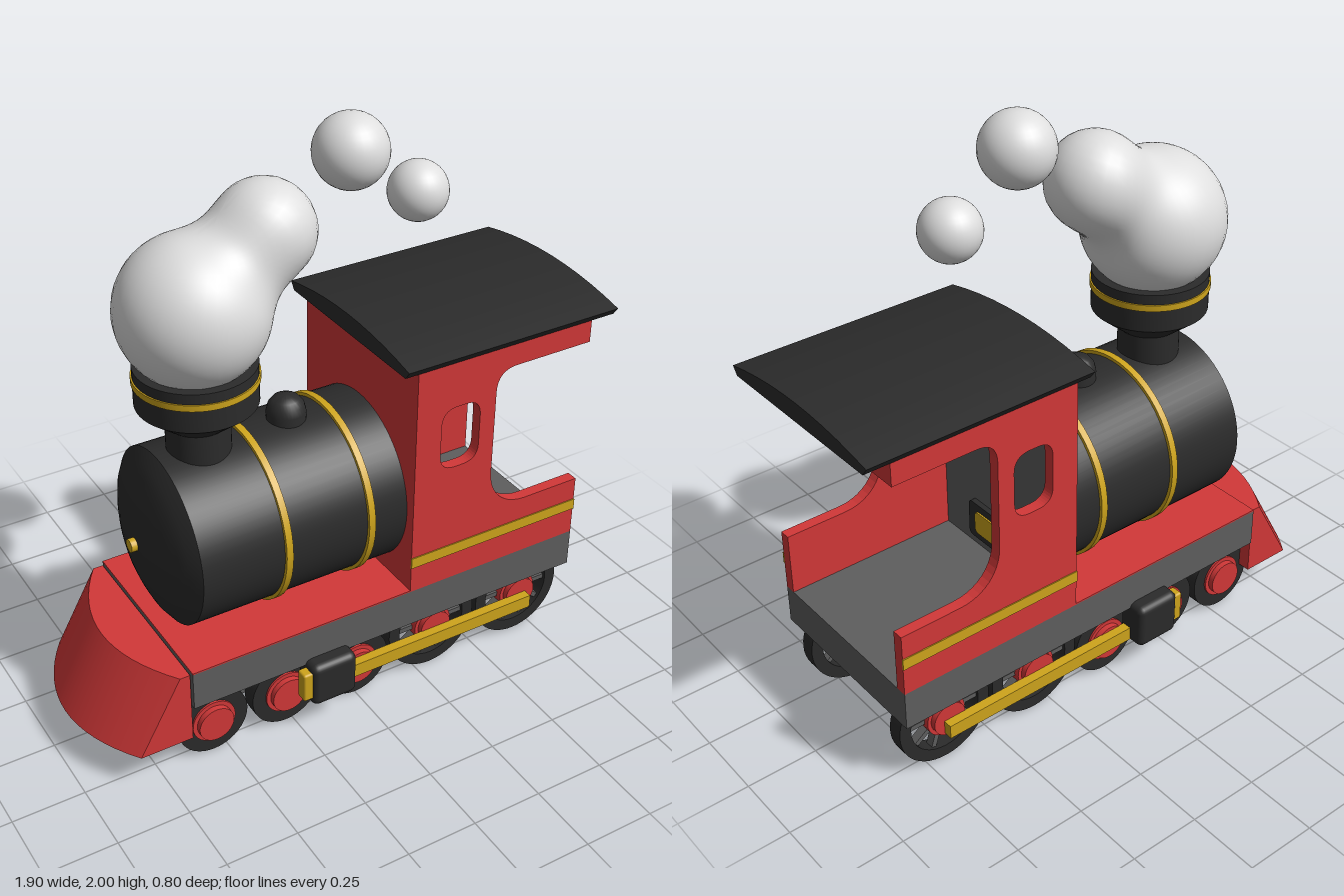
import * as THREE from 'three';
import { toCreasedNormals } from 'three/addons/utils/BufferGeometryUtils.js';
import { RoundedBoxGeometry } from 'three/addons/geometries/RoundedBoxGeometry.js';

const paint = (name, color) => Object.assign(new THREE.MeshStandardMaterial({ color }), { name });

export function createModel() {
  const red = paint('red', 0xd23838), black = paint('black', 0x2b2b2b), grey = paint('grey', 0x5e5e5e);
  const gold = paint('gold', 0xcfa51c), white = paint('smoke white', 0xdedede);
  const model = new THREE.Group();
  model.name = 'steamLocomotive';

  const add = (name, geometry, material, parent = model) => {
    const mesh = new THREE.Mesh(geometry, material);
    mesh.name = name;
    parent.add(mesh);
    return mesh;
  };
  // Box given by its limits on each axis
  const box = (name, x0, x1, y0, y1, z0, z1, material, parent) =>
    add(name, new THREE.BoxGeometry(x1 - x0, y1 - y0, z1 - z0)
      .translate((x0 + x1) / 2, (y0 + y1) / 2, (z0 + z1) / 2), material, parent);
  // Turned part with sharp edges kept
  const turned = (points, segments = 48) => toCreasedNormals(
    new THREE.LatheGeometry(points.map(p => new THREE.Vector2(...p)), segments), 0.6);
  const ring = (r0, r1, y0, y1) => turned([[r1, y0], [r1, y1], [r0, y1], [r0, y0], [r1, y0]]);
  const roundRect = (target, x0, x1, y0, y1, r) => {
    target.moveTo(x0 + r, y0);
    target.lineTo(x1 - r, y0).quadraticCurveTo(x1, y0, x1, y0 + r);
    target.lineTo(x1, y1 - r).quadraticCurveTo(x1, y1, x1 - r, y1);
    target.lineTo(x0 + r, y1).quadraticCurveTo(x0, y1, x0, y1 - r);
    target.lineTo(x0, y0 + r).quadraticCurveTo(x0, y0, x0 + r, y0);
    return target;
  };
  const extrude = (shape, depth) =>
    new THREE.ExtrudeGeometry(shape, { depth, bevelEnabled: false, curveSegments: 10 });

  // Chassis
  box('chassis', -0.64, 0.86, 0.26, 0.4, -0.34, 0.34, grey);
  box('frontDeck', -0.64, 0.18, 0.4, 0.405, -0.34, 0.34, red);
  box('underframe', -0.6, 0.74, 0.13, 0.26, -0.225, 0.225, grey);

  // Cowcatcher: one cross-section per step across the width, swept back in an arc
  const steps = 16, pos = [], idx = [];
  for (let i = 0; i <= steps; i++) {
    const s = i / steps * 2 - 1, z = 0.33 * s, back = 0.12 * s * s;
    pos.push(-0.95 + back, 0.13, z, -0.8 + back, 0.395, z, -0.645, 0.395, z, -0.645, 0.13, z);
    for (let k = 0; k < 4 && i < steps; k++) {
      const a = i * 4 + k, b = i * 4 + (k + 1) % 4;
      idx.push(a, a + 4, b, b, a + 4, b + 4);
    }
  }
  const e = steps * 4;
  idx.push(0, 1, 2, 0, 2, 3, e, e + 2, e + 1, e, e + 3, e + 2);
  const catcher = new THREE.BufferGeometry();
  catcher.setAttribute('position', new THREE.Float32BufferAttribute(pos, 3));
  catcher.setIndex(idx);
  add('cowcatcher', toCreasedNormals(catcher, 0.5), red);

  // Boiler with a domed front
  const profile = [[0, -0.18], [0.303, -0.18], [0.303, 0.57]];
  const capR = 0.59;
  for (let i = 1; i <= 8; i++) {
    const r = 0.303 * (1 - i / 8);
    profile.push([r, 0.66 - capR + Math.sqrt(capR * capR - r * r)]);
  }
  add('boiler', turned(profile, 64).rotateZ(Math.PI / 2).translate(0, 0.703, 0), black);
  for (const x of [-0.268, 0.04])
    add('boilerBand', ring(0.295, 0.315, -0.012, 0.012).rotateZ(Math.PI / 2).translate(x, 0.703, 0), gold);
  add('frontKnob', new THREE.CylinderGeometry(0.023, 0.023, 0.04, 20)
    .rotateZ(Math.PI / 2).translate(-0.66, 0.703, 0), gold);
  add('steamDome', turned([[0.066, 0.95], [0.066, 1.03], [0.06, 1.055], [0.045, 1.075], [0.022, 1.085], [0, 1.087]], 32)
    .translate(-0.1, 0, 0), black);

  // Chimney
  add('chimney', turned([[0.105, 0.94], [0.105, 1.095], [0.197, 1.17], [0.197, 1.305], [0, 1.305]])
    .translate(-0.418, 0, 0), black);
  add('chimneyBand', ring(0.19, 0.202, 1.248, 1.27).translate(-0.418, 0, 0), gold);

  // Smoke: a sphere pushed out to the smooth union of two balls
  const balls = [[-0.42, 1.485, 0.245], [-0.17, 1.687, 0.165]], centre = new THREE.Vector3(-0.32, 1.57, 0);
  const field = p => {
    const [a, b] = balls.map(([x, y, r]) => Math.hypot(p.x - x, p.y - y, p.z) - r);
    const k = 0.12, h = Math.max(k - Math.abs(a - b), 0) / k;
    return Math.min(a, b) - h * h * k / 4;
  };
  const smoke = new THREE.SphereGeometry(1, 48, 32), attr = smoke.attributes.position;
  const dir = new THREE.Vector3(), point = new THREE.Vector3();
  for (let i = 0; i < attr.count; i++) {
    dir.fromBufferAttribute(attr, i);
    let near = 0, far = 0.7;
    for (let n = 0; n < 20; n++) {
      const mid = (near + far) / 2;
      if (field(point.copy(centre).addScaledVector(dir, mid)) < 0) near = mid; else far = mid;
    }
    attr.setXYZ(i, point.x, point.y, point.z);
  }
  add('smokePlume', toCreasedNormals(smoke, 1.2), white);
  for (const [x, y, r] of [[0.135, 1.878, 0.122], [0.387, 1.69, 0.1]])
    add('smokePuff', new THREE.SphereGeometry(r, 32, 20).translate(x, y, 0), white);

  // Cab
  const cab = new THREE.Group();
  cab.name = 'cab';
  model.add(cab);
  const side = new THREE.Shape();
  side.moveTo(0.18, 0.4);
  side.lineTo(0.86, 0.4).lineTo(0.86, 0.625).lineTo(0.64, 0.625);
  side.bezierCurveTo(0.55, 0.625, 0.487, 0.69, 0.487, 0.78);
  side.lineTo(0.487, 1.09).quadraticCurveTo(0.487, 1.17, 0.565, 1.17);
  side.lineTo(0.86, 1.17).lineTo(0.86, 1.25).lineTo(0.18, 1.25);
  side.holes.push(roundRect(new THREE.Path(), 0.277, 0.427, 0.855, 1.085, 0.06));
  for (const s of [1, -1]) {
    add('cabSide', extrude(side, 0.04).translate(0, 0, s > 0 ? 0.3 : -0.34), red, cab);
    box('cabStripe', 0.179, 0.861, 0.5, 0.54, s * 0.341 - 0.003, s * 0.341 + 0.003, gold, cab);
  }
  box('cabFrontWall', 0.18, 0.22, 0.4, 1.25, -0.3, 0.3, red, cab);
  box('cabCeiling', 0.22, 0.86, 1.17, 1.25, -0.3, 0.3, red, cab);
  box('boilerBackplate', 0.22, 0.228, 0.4, 1.17, -0.3, 0.3, grey, cab);

  // Firebox door on the inside of the front wall
  const plate = (name, w, y0, y1, x, depth, r, material) =>
    add(name, extrude(roundRect(new THREE.Shape(), -w, w, y0, y1, r), depth)
      .rotateY(Math.PI / 2).translate(x, 0, 0), material, cab);
  plate('fireboxFrame', 0.146, 0.447, 0.587, 0.228, 0.02, 0.02, black);
  plate('fireboxDoor', 0.107, 0.475, 0.56, 0.248, 0.006, 0.02, gold);

  // Arched roof
  const roof = new THREE.Shape();
  roof.moveTo(-0.34, 1.25);
  roof.lineTo(0.34, 1.25).lineTo(0.36, 1.278);
  roof.quadraticCurveTo(0, 1.36, -0.36, 1.278);
  add('roof', toCreasedNormals(extrude(roof, 0.82), 0.4).rotateY(Math.PI / 2).translate(0.13, 0, 0), black, cab);

  // Running gear, mirrored on both sides
  const disc = (r, z0, z1) => new THREE.CylinderGeometry(r, r, z1 - z0, 40)
    .rotateX(Math.PI / 2).translate(0, 0, (z0 + z1) / 2);
  for (const s of [1, -1]) {
    const gear = new THREE.Group();
    gear.name = s > 0 ? 'leftRunningGear' : 'rightRunningGear';
    model.add(gear);
    const wheelAt = (name, x, y) => {
      const wheel = new THREE.Group();
      wheel.name = name;
      wheel.position.set(x, y, 0);
      gear.add(wheel);
      return wheel;
    };
    const flip = g => s > 0 ? g : g.rotateY(Math.PI);

    for (const x of [-0.548, -0.273, 0.003]) {
      const wheel = wheelAt('smallWheel', x, 0.127);
      add('tyre', flip(disc(0.127, 0.23, 0.285)), black, wheel);
      add('hubFlange', flip(disc(0.078, 0.28, 0.292)), red, wheel);
      add('hub', flip(disc(0.063, 0.28, 0.312)), red, wheel);
    }
    for (const x of [0.313, 0.678]) {
      const wheel = wheelAt('drivingWheel', x, 0.175);
      add('rim', flip(ring(0.132, 0.175, 0.23, 0.285).rotateX(Math.PI / 2)), black, wheel);
      for (let i = 0; i < 10; i++)
        add('spoke', new THREE.BoxGeometry(0.1, 0.018, 0.03).translate(0.09, 0, 0)
          .rotateZ(i * Math.PI / 5).translate(0, 0, s * 0.258), grey, wheel);
      add('hubFlange', flip(disc(0.073, 0.235, 0.292)), red, wheel);
      add('hub', flip(disc(0.06, 0.28, 0.312)), red, wheel);
    }

    // Steam cylinder, its piston cap and the connecting rod
    add('steamCylinder', new RoundedBoxGeometry(0.17, 0.165, 0.11, 3, 0.025)
      .translate(-0.145, 0.197, s * 0.343), black, gear);
    add('pistonCap', new RoundedBoxGeometry(0.05, 0.11, 0.045, 2, 0.008)
      .translate(-0.235, 0.2, s * 0.362), gold, gear);
    box('connectingRod', -0.08, 0.7, 0.127, 0.177, s * 0.327 - 0.017, s * 0.327 + 0.017, gold, gear);
  }
  return model;
}
